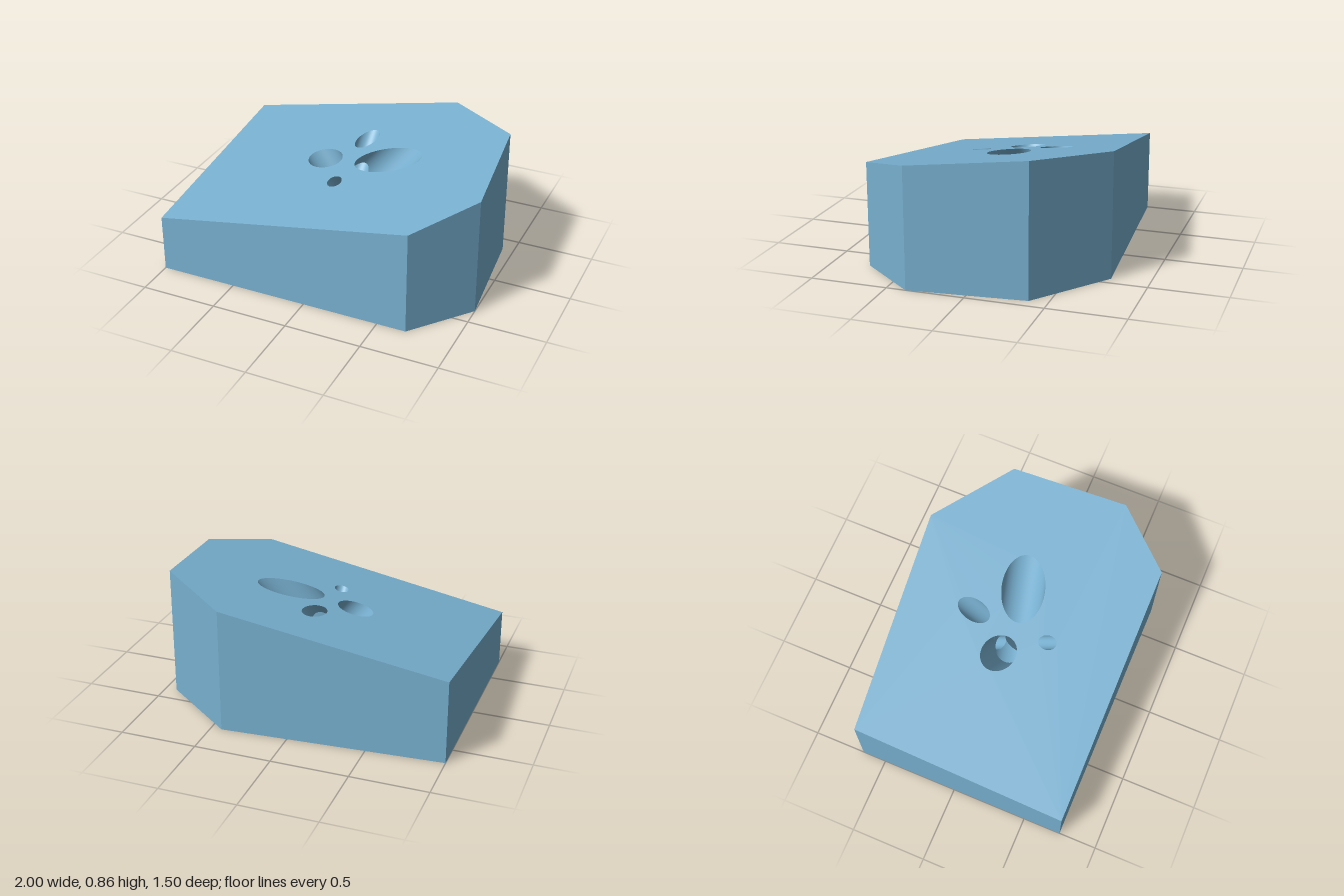
import * as THREE from 'three';

const V = (x, y, z) => new THREE.Vector3(x, y, z);
const SEGMENTS = 72, ROWS = 40;

// Plan outline of the block as [x, z], and the sloping plane of its top
const OUTLINE = [[-1, 0.75], [0.69, 0.75], [1, 0.375], [0.925, -0.38], [0.43, -0.755], [-1, -0.66]];
const topY = (x, z) => 0.6495 + 0.179 * x - 0.1206 * z;

// Four slanted bores that all cross at one point inside the block
const CROSSING = V(-0.02, 0.379, 0.024);
const BORES = [
  { name: 'leftLeaningBore', radius: 0.107, axis: V(-0.777, 1, -0.163) },
  { name: 'largeBore', radius: 0.14, axis: V(0.806, 1, -0.161) },
  { name: 'backLeaningBore', radius: 0.07, axis: V(0.015, 1, -0.962) },
  { name: 'smallBore', radius: 0.047, axis: V(0.01, 1, 0.932) },
];

// Lines along each bore wall, running from the base to the sloping top
for (const bore of BORES) {
  const d = bore.axis.normalize();
  const u = V(1, 0, 0).addScaledVector(d, -d.x).normalize();
  const v = d.clone().cross(u);
  bore.lines = Array.from({ length: SEGMENTS }, (_, i) => {
    const a = (i / SEGMENTS) * Math.PI * 2;
    const p = CROSSING.clone()
      .addScaledVector(u, bore.radius * Math.cos(a))
      .addScaledVector(v, bore.radius * Math.sin(a));
    const up = (topY(p.x, p.z) - p.y) / (d.y - 0.179 * d.x + 0.1206 * d.z);
    return [p.clone().addScaledVector(d, -p.y / d.y), p.clone().addScaledVector(d, up)];
  });
}

// Vector from a bore's axis to a point
function fromAxis(bore, p) {
  const q = p.clone().sub(CROSSING);
  return q.addScaledVector(bore.axis, -q.dot(bore.axis));
}

function geometryFrom(points, normals) {
  const g = new THREE.BufferGeometry().setFromPoints(points);
  if (normals) g.setAttribute('normal', new THREE.Float32BufferAttribute(normals.flatMap(n => n.toArray()), 3));
  else g.computeVertexNormals();
  return g;
}

// Flat face with the four bore mouths cut out; end 0 is the base, 1 the top
function piercedFace(end) {
  const shape = new THREE.Shape(OUTLINE.map(([x, z]) => new THREE.Vector2(x, -z)));
  for (const bore of BORES) {
    shape.holes.push(new THREE.Path(bore.lines.map(l => new THREE.Vector2(l[end].x, -l[end].z))));
  }
  const flat = new THREE.ShapeGeometry(shape).toNonIndexed().getAttribute('position');
  const points = [];
  for (let i = 0; i < flat.count; i += 3) {
    for (const k of end ? [0, 1, 2] : [0, 2, 1]) {
      const x = flat.getX(i + k), z = -flat.getY(i + k);
      points.push(V(x, end ? topY(x, z) : 0, z));
    }
  }
  return geometryFrom(points);
}

// Upright walls around the outline
function sideWalls() {
  const points = [];
  OUTLINE.forEach(([x, z], i) => {
    const [x2, z2] = OUTLINE[(i + 1) % OUTLINE.length];
    const a = V(x, 0, z), b = V(x2, 0, z2), c = V(x2, topY(x2, z2), z2), d = V(x, topY(x, z), z);
    points.push(a, b, c, a, c, d);
  });
  return geometryFrom(points);
}

// Keep only the part of a polygon lying outside the other bores
function clip(polygon, other) {
  const dist = polygon.map(p => fromAxis(other, p).length() - other.radius);
  const out = [];
  polygon.forEach((p, i) => {
    const j = (i + 1) % polygon.length;
    if (dist[i] >= 0) out.push(p);
    if ((dist[i] >= 0) !== (dist[j] >= 0)) out.push(p.clone().lerp(polygon[j], dist[i] / (dist[i] - dist[j])));
  });
  return out;
}

// Inside wall of a bore, opened where the other bores run through it
function boreWall(bore) {
  const points = [];
  const at = (i, j) => {
    const [low, high] = bore.lines[i % SEGMENTS];
    return low.clone().lerp(high, j / ROWS);
  };
  for (let i = 0; i < SEGMENTS; i++) {
    for (let j = 0; j < ROWS; j++) {
      const a = at(i, j), b = at(i, j + 1), c = at(i + 1, j + 1), d = at(i + 1, j);
      for (let polygon of [[a, b, c], [a, c, d]]) {
        for (const other of BORES) if (other !== bore) polygon = clip(polygon, other);
        for (let k = 2; k < polygon.length; k++) points.push(polygon[0], polygon[k - 1], polygon[k]);
      }
    }
  }
  return geometryFrom(points, points.map(p => fromAxis(bore, p).normalize().negate()));
}

export function createModel() {
  const model = new THREE.Group();
  model.name = 'boredWedgeBlock';
  const material = new THREE.MeshStandardMaterial({ color: 0x78b0d0 });
  const add = (name, geometry) => {
    const mesh = new THREE.Mesh(geometry, material);
    mesh.name = name;
    model.add(mesh);
  };
  add('slopingTop', piercedFace(1));
  add('base', piercedFace(0));
  add('sideWalls', sideWalls());
  for (const bore of BORES) add(bore.name, boreWall(bore));
  return model;
}
